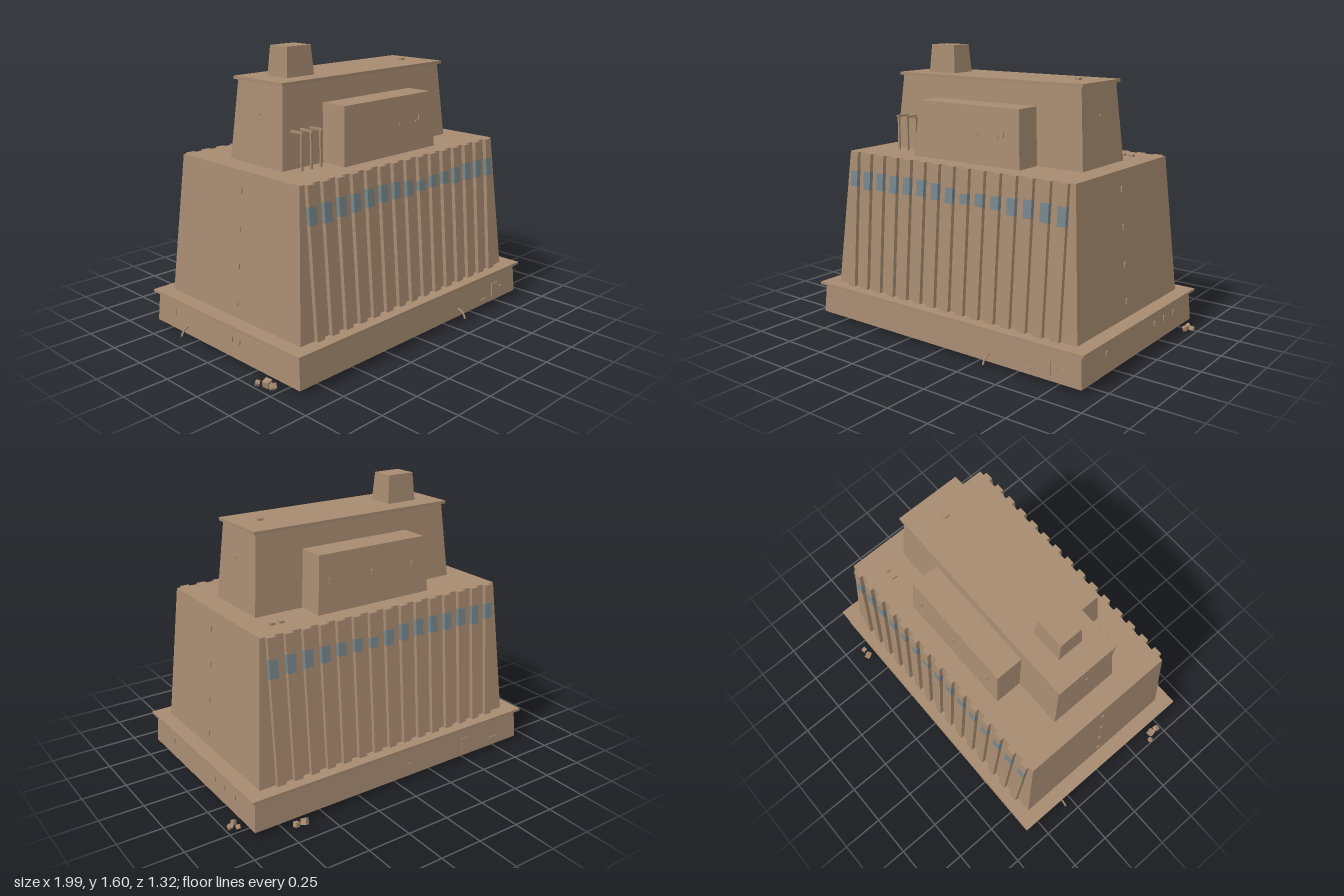
import * as THREE from 'three';

const clay = new THREE.MeshStandardMaterial({ color: 0xa68a70 });
clay.name = 'clay';
const glass = new THREE.MeshStandardMaterial({ color: 0x76868b });
glass.name = 'windowBlue';

export function createModel() {
  const model = new THREE.Group();
  model.name = 'steppedTower';
  const building = new THREE.Group();
  building.name = 'building';
  building.position.set(0.003, 0, 0.005);
  model.add(building);

  function add(name, geo, mat = clay, parent = building) {
    const m = new THREE.Mesh(geo, mat);
    m.name = name;
    parent.add(m);
    return m;
  }

  // Box whose top is smaller than its bottom; all sizes are half extents
  function tier(name, y0, y1, x0, z0, x1, z1, cx = 0, cz = 0) {
    const geo = new THREE.BoxGeometry(2, y1 - y0, 2);
    const p = geo.attributes.position;
    for (let i = 0; i < p.count; i++) {
      const top = p.getY(i) > 0;
      p.setX(i, p.getX(i) * (top ? x1 : x0));
      p.setZ(i, p.getZ(i) * (top ? z1 : z0));
    }
    geo.computeVertexNormals();
    add(name, geo).position.set(cx, (y0 + y1) / 2, cz);
    return { y0, y1, x0, z0, x1, z1 };
  }

  // Main masses
  const base = tier('base', 0.03, 0.2, 0.904, 0.598, 0.893, 0.587);
  tier('baseLedge', 0.2, 0.215, 0.918, 0.61, 0.918, 0.61);
  const body = tier('body', 0.215, 1.003, 0.834, 0.53, 0.77, 0.467);
  const upper = tier('upperBlock', 1.003, 1.43, 0.647, 0.208, 0.609, 0.174);
  tier('roofSlab', 1.43, 1.447, 0.626, 0.19, 0.626, 0.19);
  const cross = tier('crossBlock', 1.003, 1.315, 0.363, 0.365, 0.341, 0.341);
  tier('roofTurret', 1.447, 1.605, 0.095, 0.077, 0.083, 0.066, -0.398, 0.003);

  // Leaning ribs on the two long walls, each with a window band
  const slope = (body.z0 - body.z1) / (body.y1 - body.y0);
  function ribPart(name, x, y0, y1, side, mat) {
    const geo = new THREE.BoxGeometry(0.05, y1 - y0, 0.05);
    geo.translate(x, (y0 + y1) / 2, 0);
    const p = geo.attributes.position;
    for (let i = 0; i < p.count; i++) {
      const wall = body.z0 - (p.getY(i) - body.y0) * slope;
      p.setZ(i, p.getZ(i) + side * (wall - 0.002));
    }
    geo.computeVertexNormals();
    add(name, geo, mat);
  }
  const bandBottom = [0.805, 0.795, 0.805, 0.805, 0.81, 0.815, 0.81, 0.805, 0.815, 0.815, 0.815, 0.8, 0.8, 0.795, 0.79];
  const bandTop = [0.895, 0.9, 0.905, 0.9, 0.905, 0.905, 0.9, 0.89, 0.87, 0.885, 0.885, 0.89, 0.895, 0.895, 0.89];
  for (const side of [1, -1]) {
    for (let i = 0; i < 15; i++) {
      const x = (i - 7) * 0.102;
      ribPart('ribLower', x, 0.215, bandBottom[i], side, clay);
      ribPart('ribWindow', x, bandBottom[i], bandTop[i], side, glass);
      ribPart('ribUpper', x, bandTop[i], 1.003, side, clay);
    }
  }

  // Places a small part on a leaning wall; u runs along world x or z
  const walls = { front: [0, 1], right: [Math.PI / 2, -1], back: [Math.PI, -1], left: [-Math.PI / 2, 1] };
  function onWall(name, geo, t, wall, u, y) {
    const [turn, sign] = walls[wall];
    const along = wall === 'front' || wall === 'back';
    const a = along ? t.z0 : t.x0;
    const b = along ? t.z1 : t.x1;
    const f = (y - t.y0) / (t.y1 - t.y0);
    const pivot = new THREE.Group();
    pivot.name = name;
    pivot.rotation.y = turn;
    building.add(pivot);
    const m = add(name, geo, clay, pivot);
    m.position.set(u * sign, y, a + (b - a) * f);
    m.rotation.x = -Math.atan2(a - b, t.y1 - t.y0);
  }

  // Round-ended vent plate
  function ventGeo(w, h) {
    const r = w / 2, s = new THREE.Shape();
    s.absarc(0, h / 2 - r, r, 0, Math.PI);
    s.absarc(0, r - h / 2, r, Math.PI, Math.PI * 2);
    return new THREE.ExtrudeGeometry(s, { depth: 0.006, bevelEnabled: false, curveSegments: 6 });
  }
  const slit = ventGeo(0.022, 0.04);
  const dot = ventGeo(0.014, 0.016);
  for (const wall of ['right', 'left']) {
    for (const y of [0.3, 0.5, 0.7, 0.9]) onWall('sideVent', slit, body, wall, 0.036, y);
    onWall('upperVent', dot, upper, wall, 0.012, 1.27);
  }
  for (const z of [0.355, -0.16, -0.268, -0.383]) onWall('baseVent', slit, base, 'right', z, 0.13);
  for (const z of [-0.43, 0.07, 0.13]) onWall('baseVent', slit, base, 'left', z, 0.13);
  for (const x of [-0.26, 0.01, 0.28]) onWall('rearVent', slit, cross, 'back', x, 1.17);
  onWall('frontVent', ventGeo(0.022, 0.036), cross, 'front', 0.243, 1.175);
  for (const x of [0.077, 0.213]) onWall('frontDot', dot, cross, 'front', x, 1.163);

  // Base hatches and small fittings
  const hatch = new THREE.BoxGeometry(0.057, 0.08, 0.012);
  onWall('hatch', hatch, base, 'front', 0.695, 0.097);
  onWall('hatch', hatch, base, 'back', -0.5, 0.097);
  const bar = new THREE.BoxGeometry(0.05, 0.008, 0.014);
  onWall('fittingBar', bar, base, 'front', 0.582, 0.064);
  onWall('fittingBar', bar, base, 'back', -0.72, 0.08);
  onWall('baseDot', dot, base, 'back', -0.09, 0.1);
  onWall('baseDot', dot, base, 'front', 0.755, 0.1);

  // Bent drain pipes
  function drain(x, z, turn) {
    const curve = new THREE.QuadraticBezierCurve3(
      new THREE.Vector3(0, 0.075, -0.02),
      new THREE.Vector3(0, 0.08, 0.035),
      new THREE.Vector3(0, 0.03, 0.048));
    const m = add('drainPipe', new THREE.TubeGeometry(curve, 8, 0.006, 6), clay);
    m.position.set(x, 0, z);
    m.rotation.y = turn;
  }
  drain(0.34, 0.598, 0);
  drain(-0.899, -0.313, -Math.PI / 2);

  // Posts with beams reaching back to the upper block
  for (const x of [-0.571, -0.504, -0.438]) {
    add('post', new THREE.BoxGeometry(0.011, 0.2, 0.011)).position.set(x, 1.1, 0.268);
    add('beam', new THREE.BoxGeometry(0.012, 0.012, 0.1)).position.set(x, 1.199, 0.23);
  }

  // Roof and terrace boxes
  const lid = new THREE.BoxGeometry(0.028, 0.014, 0.028);
  for (const [x, y, z] of [[0.482, 1.452, 0.005], [0.572, 1.008, -0.338], [0.625, 1.008, -0.338]]) {
    add('roofBox', lid).position.set(x, y, z);
  }

  // Loose blocks around the foot: x, z, size, turn
  const blocks = [
    [0.645, -0.64, 0.032, 0.3], [0.692, -0.638, 0.026, 0.1],
    [0.947, -0.488, 0.022, 0.5], [0.98, -0.464, 0.024, 0.8], [0.948, -0.44, 0.023, 0.2],
    [-0.985, 0.386, 0.022, 0.4], [-0.952, 0.422, 0.036, 0.1], [-0.955, 0.468, 0.028, 0.6],
  ];
  for (const [x, z, s, turn] of blocks) {
    const m = add('looseBlock', new THREE.BoxGeometry(s, s, s), clay, model);
    m.position.set(x, 0.026, z);
    m.rotation.set(turn, turn * 2, 0.2);
  }
  return model;
}
